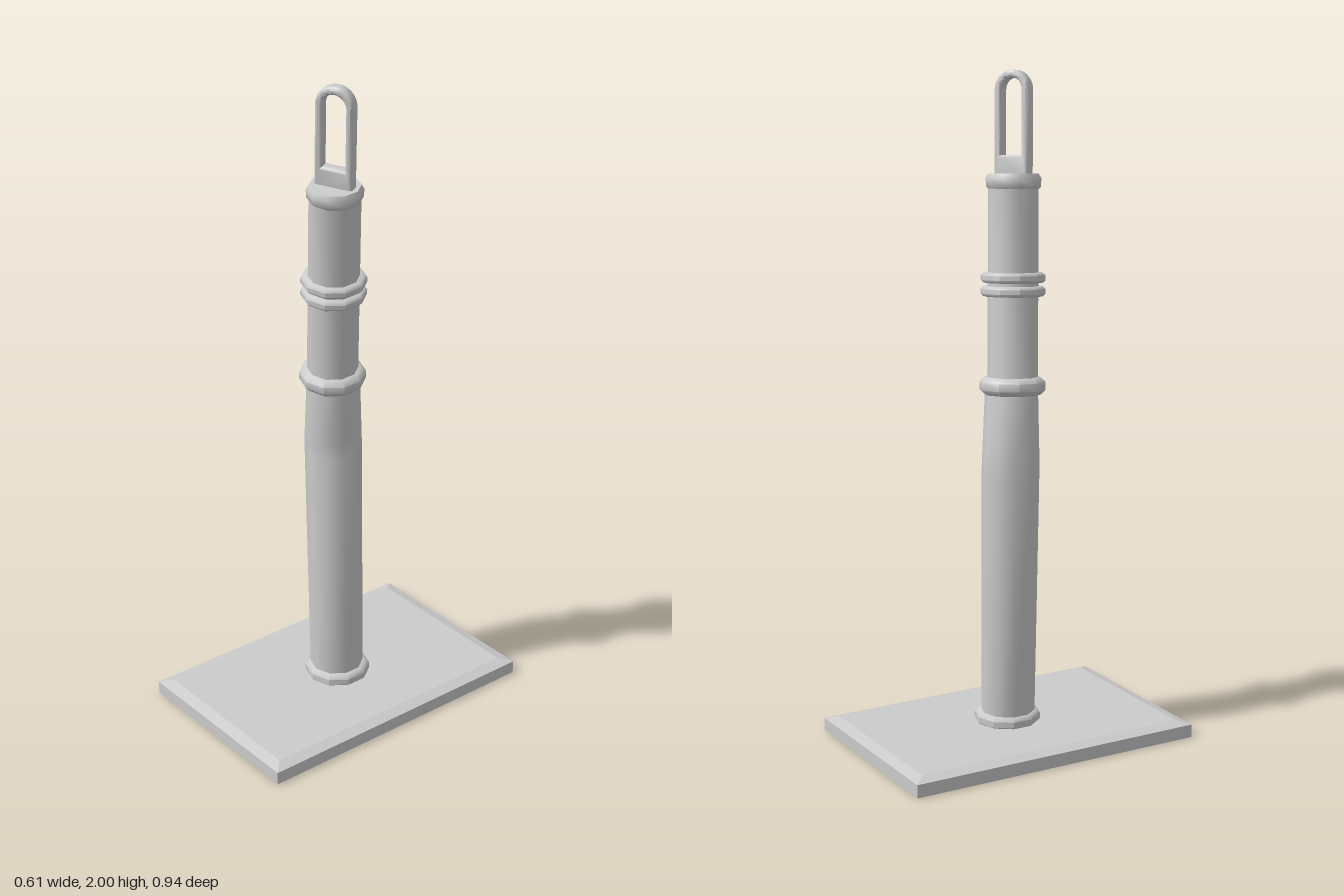
import * as THREE from 'three';
import { mergeVertices, toCreasedNormals } from 'three/addons/utils/BufferGeometryUtils.js';

const SIDES = 10;
const material = new THREE.MeshStandardMaterial({ color: 0xcccccc, side: THREE.DoubleSide });

function add(parent, name, geometry, y = 0) {
  const mesh = new THREE.Mesh(geometry, material);
  mesh.name = name;
  mesh.position.y = y;
  parent.add(mesh);
  return mesh;
}

// Turned part from [radius, height] pairs
function turned(profile) {
  const points = profile.map(([r, y]) => new THREE.Vector2(r, y));
  return toCreasedNormals(new THREE.LatheGeometry(points, SIDES), 0.9);
}

// Collar with rounded edges, centred on its own height
function collar(inner, outer, height) {
  const h = height / 2, b = height * 0.28;
  return turned([[inner, -h], [outer - b, -h], [outer, -h + b], [outer, h - b], [outer - b, h], [inner, h]]);
}

// Tube through level rings given as [x, y, z, radius], bottom to top
function bentTube(rings) {
  const n = rings.length - 1;
  const geometry = new THREE.CylinderGeometry(1, 1, 1, SIDES, n, true);
  const pos = geometry.attributes.position;
  for (let i = 0; i < pos.count; i++) {
    const [x, y, z, r] = rings[Math.round((pos.getY(i) + 0.5) * n)];
    pos.setXYZ(i, x + pos.getX(i) * r, y, z + pos.getZ(i) * r);
  }
  geometry.deleteAttribute('uv');
  geometry.deleteAttribute('normal');
  const merged = mergeVertices(geometry);
  merged.computeVertexNormals();
  return merged;
}

// Upright outline with a round top
function arch(path, half, bottom, top) {
  path.moveTo(-half, bottom);
  path.lineTo(half, bottom);
  path.lineTo(half, top - half);
  path.absarc(0, top - half, half, 0, Math.PI, false);
  path.lineTo(-half, bottom);
  return path;
}

export function createModel() {
  const model = new THREE.Group();
  model.name = 'bentPost';

  // Base plate with a shallow bevel around the top
  add(model, 'basePlate', new THREE.BoxGeometry(0.61, 0.04, 0.94), 0.02);
  const bevel = new THREE.BoxGeometry(0.61, 0.01, 0.94);
  const pos = bevel.attributes.position;
  for (let i = 0; i < pos.count; i++) {
    if (pos.getY(i) > 0) {
      pos.setX(i, pos.getX(i) - Math.sign(pos.getX(i)) * 0.035);
      pos.setZ(i, pos.getZ(i) - Math.sign(pos.getZ(i)) * 0.035);
    }
  }
  bevel.computeVertexNormals();
  add(model, 'basePlateBevel', bevel, 0.045);

  // Lower post, bending just above its middle
  add(model, 'footCollar', collar(0.07, 0.1, 0.04), 0.063);
  add(model, 'lowerPost', bentTube([
    [-0.003, 0.04, 0, 0.081],
    [-0.019, 0.83, 0, 0.086],
    [-0.019, 0.88, 0.001, 0.085],
    [-0.004, 1.06, 0.012, 0.079],
    [0, 1.09, 0.017, 0.076],
  ]));

  // Leaning upper post
  const upper = new THREE.Group();
  upper.name = 'upperPost';
  upper.position.set(0, 1.085, 0.018);
  upper.quaternion.setFromUnitVectors(
    new THREE.Vector3(0, 1, 0), new THREE.Vector3(0.095, 1, 0.06).normalize());
  model.add(upper);

  add(upper, 'upperTube', turned([[0.075, 0], [0.074, 0.6]]));
  add(upper, 'jointCollar', collar(0.06, 0.098, 0.052));
  for (const y of [0.278, 0.318]) add(upper, 'doubleRing', collar(0.06, 0.096, 0.03), y);
  add(upper, 'topCap', turned([
    [0.07, 0.572], [0.08, 0.582], [0.082, 0.606], [0.074, 0.62], [0, 0.62],
  ]));

  // Flat loop standing on the cap
  const outline = arch(new THREE.Shape(), 0.05, 0.61, 0.911);
  outline.holes.push(arch(new THREE.Path(), 0.043, 0.666, 0.904));
  const loopGeometry = new THREE.ExtrudeGeometry(outline, {
    depth: 0.022, bevelEnabled: true, bevelThickness: 0.008, bevelSize: 0.008,
    bevelSegments: 2, curveSegments: 10,
  });
  loopGeometry.translate(0, 0, -0.011);
  const loop = add(upper, 'topLoop', toCreasedNormals(loopGeometry, 0.9));
  loop.rotation.y = THREE.MathUtils.degToRad(27);

  return model;
}
